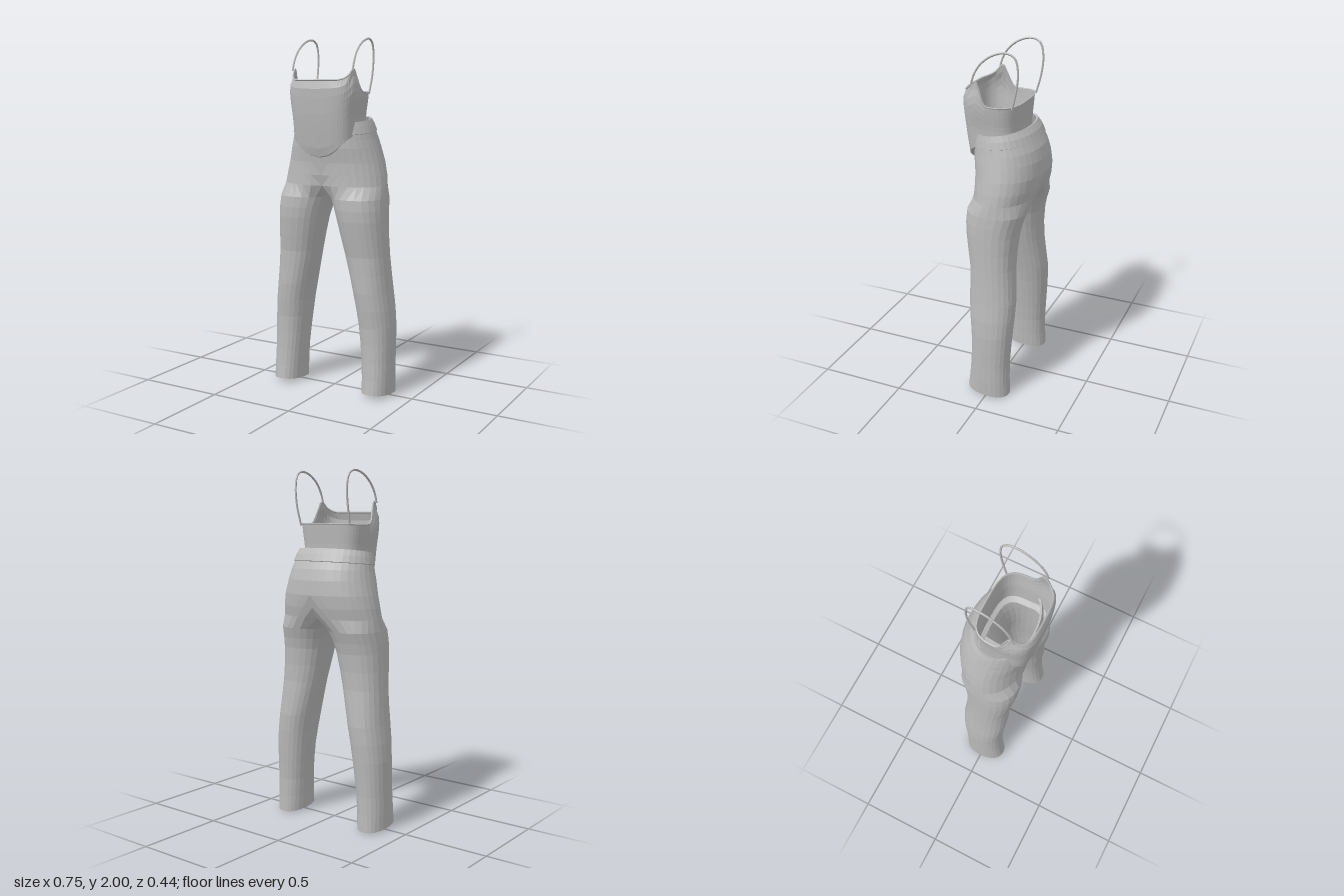
import * as THREE from 'three';

const V = (x, y, z) => new THREE.Vector3(x, y, z);
const spow = (v, p) => Math.sign(v) * Math.pow(Math.abs(v), p);

// Linear lookup in a table of [key, value, value, ...] rows
function lookup(table, key) {
  if (key <= table[0][0]) return table[0].slice(1);
  for (let i = 1; i < table.length; i++) {
    const a = table[i - 1], b = table[i];
    if (key <= b[0]) {
      const t = (key - a[0]) / (b[0] - a[0]);
      return a.slice(1).map((v, k) => v + (b[k + 1] - v) * t);
    }
  }
  return table[table.length - 1].slice(1);
}

// Skin a list of point rows, ordered bottom to top
function loft(rows, closed) {
  const n = rows[0].length, pos = [], idx = [];
  rows.forEach(r => r.forEach(p => pos.push(p.x, p.y, p.z)));
  for (let i = 0; i < rows.length - 1; i++) {
    for (let j = 0; j < (closed ? n : n - 1); j++) {
      const k = (j + 1) % n, a = i * n + j, b = i * n + k, c = b + n, d = a + n;
      idx.push(a, b, c, a, c, d);
    }
  }
  const g = new THREE.BufferGeometry();
  g.setAttribute('position', new THREE.Float32BufferAttribute(pos, 3));
  g.setIndex(idx);
  g.computeVertexNormals();
  return g;
}

// Half of the hips: index 3 is the front centre, 12 the side, 21 the back centre
const N = 24, FRONT = 3, BACK = 21;
function hipRow([y, rx, zf, zb, dentF = 0, dentB = 0, tilt = 0]) {
  const row = [], cz = (zf + zb) / 2, rz = (zf - zb) / 2;
  for (let i = FRONT; i <= BACK; i++) {
    const phi = (i - FRONT) / (BACK - FRONT) * Math.PI;
    const x = i === BACK ? 0 : rx * spow(Math.sin(phi), 0.92);
    let z = cz + rz * spow(Math.cos(phi), 0.92);
    const fall = Math.exp(-((x / 0.05) ** 2));
    z -= (z > cz ? dentF : -dentB) * fall;
    row.push(V(x, y - tilt * z, z));
  }
  return row;
}

// Closed ring round one leg, starting on the inner side
function legRow([y, xi, xo, zf, zb, tilt = 0]) {
  const row = [];
  for (let i = 0; i < N; i++) {
    const t = i / N * Math.PI * 2;
    const x = (xi + xo) / 2 - (xo - xi) / 2 * spow(Math.cos(t), 0.88);
    const z = (zf + zb) / 2 + (zf - zb) / 2 * spow(Math.sin(t), 0.88);
    row.push(V(x, y + tilt * z, z));
  }
  return row;
}

// Hip row closed by the crotch saddle on the centre plane
function crotchRow(hip) {
  const row = new Array(N), f = hip[0], b = hip[hip.length - 1];
  hip.forEach((p, i) => { row[FRONT + i] = p; });
  for (let k = 1; k < 6; k++) {
    const p = f.clone().lerp(b, k / 6);
    p.x = 0;
    p.y -= 0.045 * Math.sin(Math.PI * k / 6);
    row[(FRONT - k + N) % N] = p;
  }
  return row;
}

export function createModel() {
  const model = new THREE.Group();
  const fabric = new THREE.MeshStandardMaterial({ color: 0xb8b8b8, flatShading: true, side: THREE.DoubleSide });
  fabric.name = 'grey fabric';
  const add = (name, geo, parent = model) => {
    const m = new THREE.Mesh(geo, fabric);
    m.name = name;
    parent.add(m);
    return m;
  };

  // Trousers
  const hips = [
    [1.19, 0.312, 0.165, -0.198, 0.025, 0.04],
    [1.25, 0.302, 0.163, -0.213, 0.008, 0.015],
    [1.32, 0.286, 0.163, -0.221],
    [1.40, 0.264, 0.174, -0.215],
    [1.45, 0.250, 0.174, -0.198, 0, 0, 0.06],
    [1.485, 0.241, 0.172, -0.176, 0, 0, 0.1],
  ].map(hipRow);
  const waistband = [
    [1.485, 0.241, 0.172, -0.176, 0, 0, 0.1],
    [1.488, 0.247, 0.177, -0.182, 0, 0, 0.1],
    [1.525, 0.237, 0.172, -0.163, 0, 0, 0.12],
    [1.557, 0.226, 0.166, -0.138, 0, 0, 0.13],
    [1.554, 0.215, 0.155, -0.127, 0, 0, 0.13],
    [1.50, 0.224, 0.160, -0.155, 0, 0, 0.1],
  ].map(hipRow);
  const leg = [
    [0.013, 0.210, 0.376, 0.130, -0.120, 0.09],
    [0.10, 0.206, 0.377, 0.120, -0.116, 0.03],
    [0.20, 0.200, 0.376, 0.112, -0.115],
    [0.30, 0.190, 0.376, 0.109, -0.121],
    [0.40, 0.178, 0.375, 0.111, -0.128],
    [0.50, 0.164, 0.367, 0.122, -0.135],
    [0.60, 0.145, 0.354, 0.130, -0.138],
    [0.70, 0.122, 0.345, 0.131, -0.130],
    [0.80, 0.098, 0.338, 0.134, -0.122],
    [0.90, 0.075, 0.333, 0.150, -0.124],
    [1.00, 0.052, 0.329, 0.165, -0.134],
    [1.06, 0.034, 0.326, 0.169, -0.148],
    [1.12, 0.012, 0.321, 0.167, -0.168],
  ].map(legRow);
  leg.push(crotchRow(hips[0]));
  const parts = { Leg: loft(leg, true), Hip: loft(hips, false), Waistband: loft(waistband, false) };
  for (const [side, s] of [['left', 1], ['right', -1]]) {
    const half = new THREE.Group();
    half.name = side + 'TrouserHalf';
    half.scale.x = s;
    for (const key in parts) add(side + key, parts[key], half);
    model.add(half);
  }

  // Camisole sections: height, half width, front z, back z
  const body = [
    [1.34, 0.178, 0.172, -0.100],
    [1.40, 0.182, 0.189, -0.100],
    [1.50, 0.187, 0.203, -0.097],
    [1.58, 0.190, 0.213, -0.095],
    [1.65, 0.200, 0.218, -0.100],
    [1.70, 0.205, 0.221, -0.104],
    [1.75, 0.199, 0.221, -0.104],
    [1.775, 0.192, 0.203, -0.104],
    [1.84, 0.188, 0.195, -0.104],
  ];
  // Upper edge height by depth: back, armhole, strap peak, neckline
  const edge = [[-0.11, 1.705], [0, 1.70], [0.06, 1.71], [0.09, 1.74], [0.12, 1.815],
    [0.14, 1.835], [0.165, 1.80], [0.19, 1.778], [0.21, 1.768]];
  const COLS = 48, ROWS = 9;
  const section = (y, a, shrink = 1) => {
    const [rx, zf, zb] = lookup(body, y), cz = (zf + zb) / 2;
    return V(rx * shrink * spow(Math.sin(a), 0.56), y, cz + (zf - cz) * shrink * spow(Math.cos(a), 0.56));
  };
  const grid = Array.from({ length: ROWS + 2 }, () => []);
  for (let j = 0; j < COLS; j++) {
    const a = j / COLS * Math.PI * 2, ref = section(1.70, a);
    const top = lookup(edge, ref.z)[0];
    const bottom = ref.z > 0.1 ? 1.352 + 0.1 * (ref.x / 0.19) ** 2 : 1.46;
    grid[0].push(section(bottom - 0.012, a, 0.84)); // hem tucked under
    for (let i = 0; i <= ROWS; i++) grid[i + 1].push(section(bottom + (top - bottom) * i / ROWS, a));
  }
  add('camisoleBody', loft(grid, true));

  // Narrow binding along the upper edge
  const rim = new THREE.CatmullRomCurve3(grid[ROWS + 1], true);
  add('camisoleBinding', new THREE.TubeGeometry(rim, 96, 0.005, 4, true));

  // Shoulder straps
  for (const [side, s] of [['left', 1], ['right', -1]]) {
    const path = new THREE.CatmullRomCurve3([
      [0.19, 1.82, 0.137], [0.19, 1.87, 0.12], [0.188, 1.93, 0.08], [0.186, 1.979, 0.01],
      [0.184, 1.994, -0.06], [0.181, 1.972, -0.105], [0.179, 1.90, -0.122],
      [0.178, 1.80, -0.112], [0.172, 1.695, -0.085],
    ].map(([x, y, z]) => V(s * x, y, z)));
    add(side + 'Strap', new THREE.TubeGeometry(path, 28, 0.006, 5));
  }
  return model;
}
